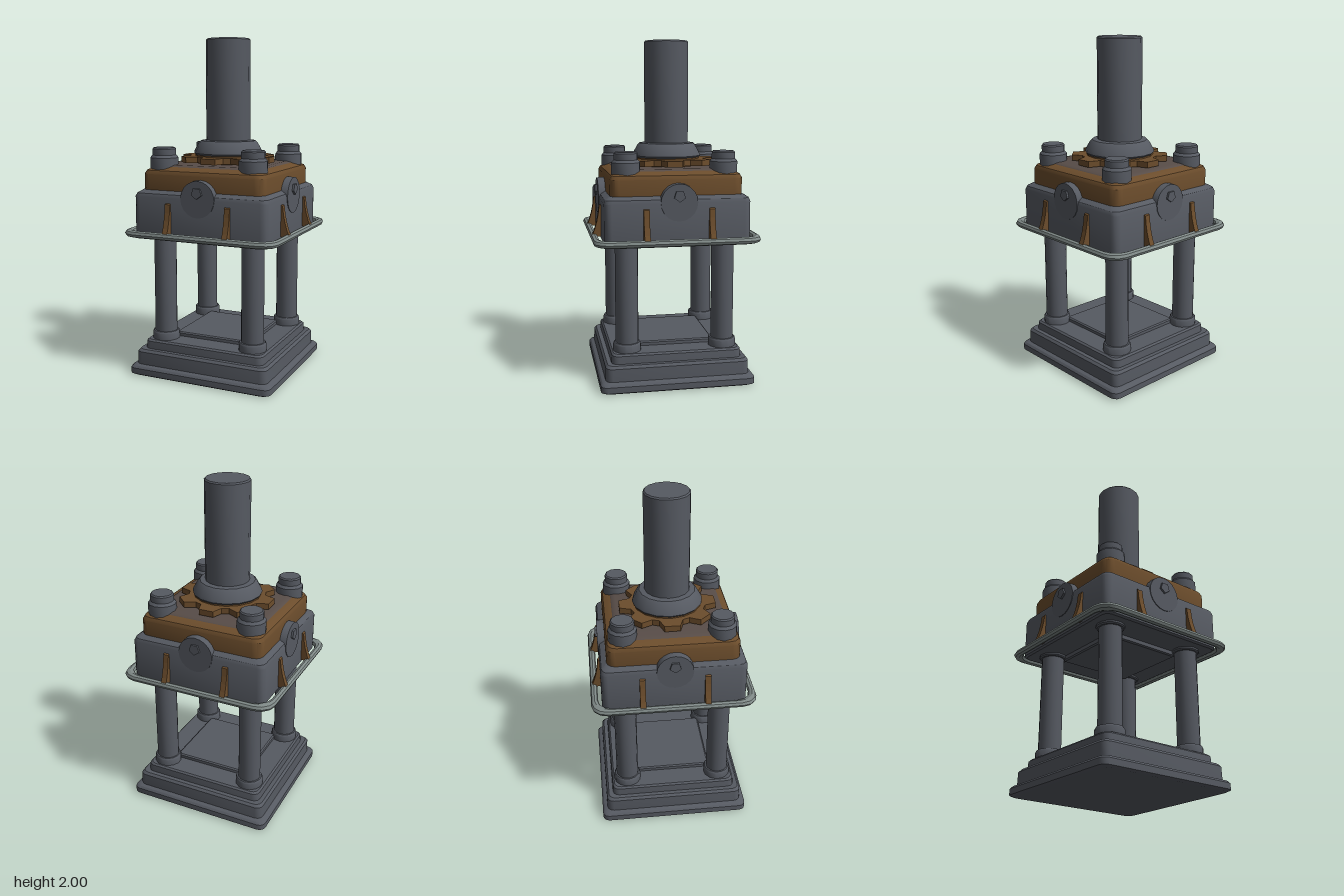
import * as THREE from 'three';
import { toCreasedNormals } from 'three/addons/utils/BufferGeometryUtils.js';

const material = (name, color) => {
  const m = new THREE.MeshStandardMaterial({ color });
  m.name = name;
  return m;
};

// Square cross-sections with rounded corners, joined upwards; profile is [half width, y]
function squareLoft(profile, corner, closed = false) {
  const loops = profile.map(([half, y]) => {
    const loop = [];
    for (let q = 0; q < 4; q++) {
      for (let s = 0; s <= 3; s++) {
        const a = (q + s / 3) * Math.PI / 2, mid = (q + 0.5) * Math.PI / 2;
        loop.push([
          Math.sign(Math.cos(mid)) * (half - corner) + Math.cos(a) * corner, y,
          Math.sign(Math.sin(mid)) * (half - corner) + Math.sin(a) * corner,
        ]);
      }
    }
    return loop;
  });
  const pos = [], n = loops[0].length, count = loops.length;
  const tri = (...points) => points.forEach((p) => pos.push(...p));
  for (let k = 0; k < (closed ? count : count - 1); k++) {
    const low = loops[k], high = loops[(k + 1) % count];
    for (let i = 0; i < n; i++) {
      const j = (i + 1) % n;
      tri(low[i], high[i], high[j]);
      tri(low[i], high[j], low[j]);
    }
  }
  if (!closed) {
    const bottom = loops[0], top = loops[count - 1];
    for (let i = 0; i < n; i++) {
      const j = (i + 1) % n;
      tri([0, bottom[0][1], 0], bottom[i], bottom[j]);
      tri([0, top[0][1], 0], top[j], top[i]);
    }
  }
  const geo = new THREE.BufferGeometry();
  geo.setAttribute('position', new THREE.Float32BufferAttribute(pos, 3));
  return toCreasedNormals(geo, 0.55);
}

// Turned part; profile is [radius, y] from bottom to top
function turned(profile, sides) {
  const geo = new THREE.LatheGeometry(profile.map(([r, y]) => new THREE.Vector2(r, y)), sides);
  return toCreasedNormals(geo, 0.55);
}

export function createModel() {
  const steel = material('dark steel', 0x565a62);
  const rust = material('brown metal', 0x6c4d2c);
  const worn = material('worn brown top', 0x574c47);
  const pale = material('pale rail metal', 0x7f8987);

  const model = new THREE.Group();
  model.name = 'pistonPress';
  const add = (name, geo, mat, parent = model) => {
    const mesh = new THREE.Mesh(geo, mat);
    mesh.name = name;
    parent.add(mesh);
    return mesh;
  };

  // Stepped base
  add('base', squareLoft([
    [0.435, 0], [0.452, 0.01], [0.452, 0.045], [0.442, 0.058], [0.422, 0.065], [0.42, 0.14], [0.408, 0.155],
    [0.383, 0.155], [0.38, 0.2], [0.37, 0.21],
  ], 0.04), steel);
  add('basePlate', squareLoft([[0.24, 0.2], [0.24, 0.228], [0.232, 0.235]], 0.015), steel);

  // Housing and the plate beneath it
  add('housing', squareLoft([
    [0.41, 0.85], [0.42, 0.86], [0.42, 1.085], [0.412, 1.105], [0.385, 1.123],
  ], 0.04), steel);
  add('undersidePlate', squareLoft([[0.232, 0.82], [0.24, 0.827], [0.24, 0.86]], 0.015), steel);

  // Brown cover with a worn top face
  add('cover', squareLoft([
    [0.382, 1.118], [0.382, 1.215], [0.372, 1.236], [0.355, 1.245], [0.325, 1.258],
  ], 0.05), rust);
  add('coverTop', squareLoft([[0.335, 1.25], [0.325, 1.26], [0.3, 1.266]], 0.05), worn);

  // Gear plate with eight teeth
  const outline = [];
  for (let i = 0; i < 8; i++) {
    for (const [deg, r] of [[-17, 0.228], [-9, 0.288], [9, 0.288], [17, 0.228]]) {
      const a = i * Math.PI / 4 + deg * Math.PI / 180;
      outline.push(new THREE.Vector2(Math.cos(a) * r, Math.sin(a) * r));
    }
  }
  const gear = new THREE.ExtrudeGeometry(new THREE.Shape(outline), { depth: 0.035, bevelEnabled: false });
  gear.rotateX(-Math.PI / 2).translate(0, 1.272, 0);
  add('gearPlate', gear, rust);
  add('gearHub', turned([[0.2, 1.25], [0.2, 1.32]], 16), rust);

  // Flange and piston shaft
  add('flange', turned([
    [0, 1.315], [0.2, 1.315], [0.208, 1.325], [0.202, 1.342], [0.178, 1.385], [0.165, 1.398], [0.13, 1.402],
  ], 16), steel);
  add('shaft', turned([[0.133, 1.38], [0.133, 1.992], [0.126, 2], [0, 2]], 16), steel);

  // Corner columns with collars, and the nuts that cap them
  for (const x of [-0.284, 0.284]) {
    for (const z of [-0.284, 0.284]) {
      const corner = new THREE.Group();
      corner.name = 'cornerColumn';
      corner.position.set(x, 0, z);
      model.add(corner);
      add('column', turned([[0.067, 0.2], [0.067, 0.87]], 14), steel, corner);
      add('lowerCollar', turned([[0.082, 0.2], [0.082, 0.25], [0.076, 0.26], [0.06, 0.26]], 14), steel, corner);
      add('upperCollar', turned([[0.06, 0.832], [0.076, 0.832], [0.082, 0.84], [0.082, 0.87]], 14), steel, corner);
      add('capNut', turned([
        [0.083, 1.23], [0.083, 1.307], [0.069, 1.322], [0.069, 1.358], [0.062, 1.366], [0, 1.366],
      ], 12), steel, corner);
    }
  }

  // Pale rail around the housing
  const ring = [];
  for (let i = 0; i < 8; i++) {
    const a = i * Math.PI / 4;
    ring.push([0.461 + 0.021 * Math.cos(a), 0.867 + 0.021 * Math.sin(a)]);
  }
  add('rail', squareLoft(ring, 0.09, true), pale);

  // Each side: a rounded lug with its bolt, and two rail brackets
  const bracketShape = new THREE.Shape();
  bracketShape.moveTo(0.41, 0.872);
  bracketShape.lineTo(0.474, 0.872);
  bracketShape.quadraticCurveTo(0.438, 0.95, 0.43, 1.05);
  bracketShape.lineTo(0.41, 1.06);
  const bracketGeo = new THREE.ExtrudeGeometry(bracketShape, { depth: 0.033, bevelEnabled: false, curveSegments: 4 });
  bracketGeo.translate(0, 0, -0.0165).rotateY(-Math.PI / 2);
  const lugGeo = toCreasedNormals(
    new THREE.CylinderGeometry(0.106, 0.108, 0.07, 20).rotateX(Math.PI / 2).translate(0, 1.088, 0.389), 0.55);
  const boltGeo = toCreasedNormals(
    new THREE.CylinderGeometry(0.034, 0.034, 0.04, 5).rotateX(Math.PI / 2).translate(0, 1.125, 0.416), 0.3);
  for (let i = 0; i < 4; i++) {
    const side = new THREE.Group();
    side.name = 'sideFittings';
    side.rotation.y = i * Math.PI / 2;
    model.add(side);
    add('lug', lugGeo, steel, side);
    add('lugBolt', boltGeo, steel, side);
    for (const x of [-0.187, 0.187]) add('railBracket', bracketGeo, rust, side).position.x = x;
  }
  return model;
}
